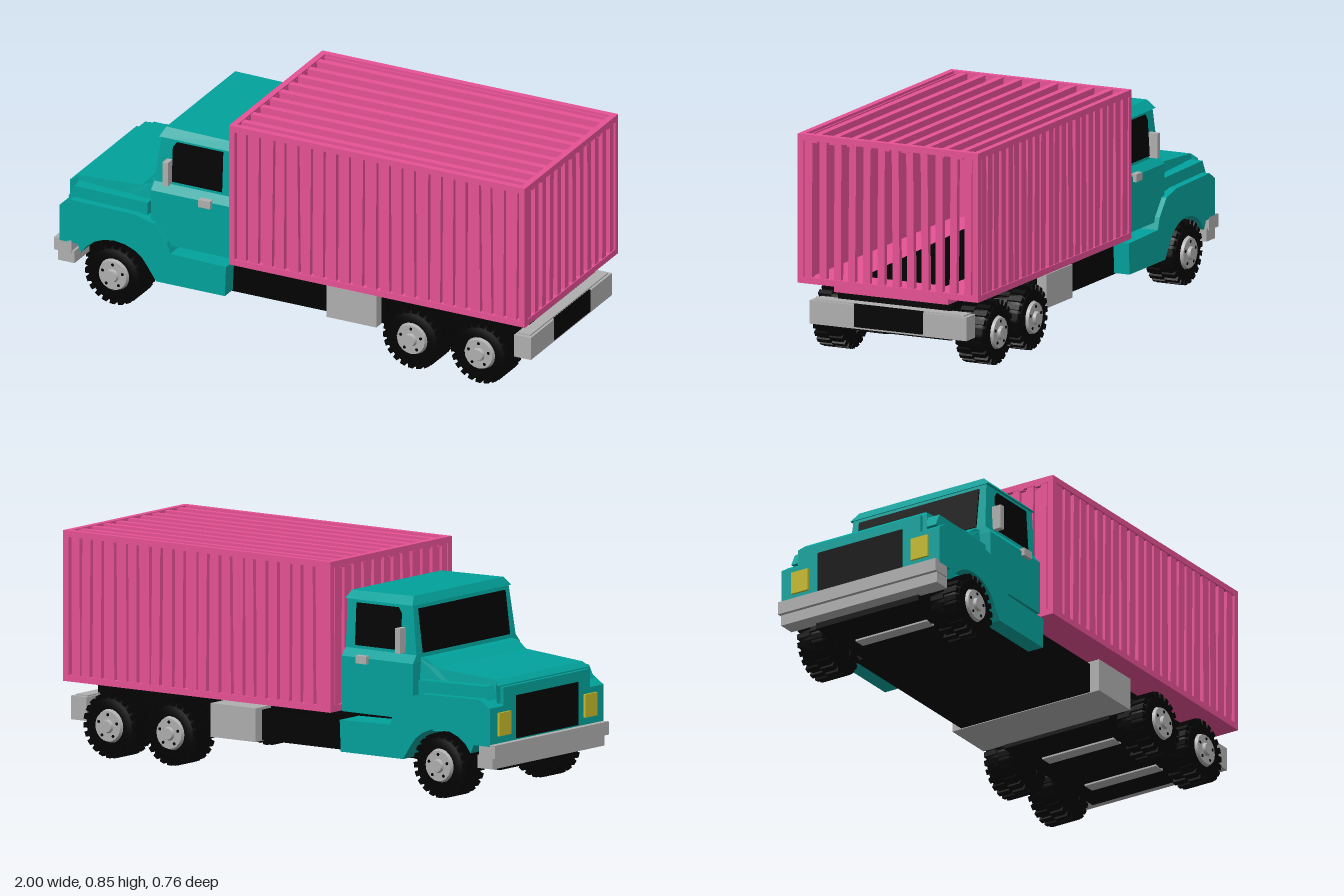
import * as THREE from 'three';

const mat = (name, color) => new THREE.MeshStandardMaterial({ name, color });

export function createModel() {
  const teal = mat('teal paint', 0x02a29c), pink = mat('pink paint', 0xee549a), black = mat('black', 0x020202);
  const grey = mat('grey metal', 0xafafaf), yellow = mat('yellow lamp', 0xc6bb2c);
  const truck = new THREE.Group();
  truck.name = 'truck';

  const add = (parent, name, geo, m) => {
    const mesh = new THREE.Mesh(geo, m);
    mesh.name = name;
    parent.add(mesh);
    return mesh;
  };
  const group = (name) => {
    const g = new THREE.Group();
    g.name = name;
    truck.add(g);
    return g;
  };
  // box given by its limits on each axis
  const box = (parent, name, m, x0, x1, y0, y1, z0, z1) =>
    add(parent, name, new THREE.BoxGeometry(x1 - x0, y1 - y0, z1 - z0)
      .translate((x0 + x1) / 2, (y0 + y1) / 2, (z0 + z1) / 2), m);
  // side profile extruded across the truck, reshaped by a rule for z
  const slab = (parent, name, m, pts, z0, z1, rule) => {
    const shape = new THREE.Shape(pts.map(([x, y]) => new THREE.Vector2(x, y)));
    const geo = new THREE.ExtrudeGeometry(shape, { depth: z1 - z0, bevelEnabled: false });
    geo.translate(0, 0, z0);
    const p = geo.attributes.position;
    if (rule) for (let i = 0; i < p.count; i++) p.setZ(i, rule(p.getX(i), p.getY(i), p.getZ(i)));
    geo.computeVertexNormals();
    return add(parent, name, geo, m);
  };
  let seed = 7;
  const rand = () => (seed = (seed * 16807) % 2147483647) / 2147483647 - 0.5;

  // Cargo cage
  const cargo = group('cargoCage');
  const X0 = -0.25, X1 = 0.995, Y0 = 0.277, Y1 = 0.848, Z = 0.38, T = 0.024;
  for (const y of [Y0, Y1 - T]) {
    for (const s of [-1, 1]) box(cargo, 'sideRail', pink, X0, X1, y, y + T, s > 0 ? Z - T : -Z, s > 0 ? Z : -Z + T);
    box(cargo, 'frontRail', pink, X0, X0 + T, y, y + T, -Z, Z);
    box(cargo, 'rearRail', pink, X1 - T, X1, y, y + T, -Z, Z);
  }
  for (const s of [-1, 1]) for (const x of [X0, X1 - T])
    box(cargo, 'cornerPost', pink, x, x + T, Y0, Y1, s > 0 ? Z - T : -Z, s > 0 ? Z : -Z + T);
  box(cargo, 'floor', pink, X0 + 0.01, X1 - 0.01, Y0, Y0 + 0.015, -Z + 0.01, Z - 0.01);
  slab(cargo, 'floorMat', black, [[-0.22, Y0 + 0.015], [0.85, Y0 + 0.015], [0.85, Y0 + 0.02], [-0.22, Y0 + 0.02]], -1, 1,
    (x, y, z) => z * (x > 0 ? 0.17 : 0.22));
  box(cargo, 'frontWall', pink, X0 + 0.015, X0 + 0.025, Y0, Y1 - 0.01, -Z + 0.01, Z - 0.01);
  for (const [z, y0, y1] of [[0.125, 0.4, 0.66], [0.07, 0.3, 0.58], [0.01, 0.3, 0.41], [-0.05, 0.42, 0.58]])
    box(cargo, 'frontWallPanel', black, X0 + 0.025, X0 + 0.03, y0, y1, z - 0.026, z + 0.026);
  box(cargo, 'rearSill', pink, 0.87, 0.97, 0.25, Y0, -0.24, 0.24);
  // Vertical slats, slightly crooked, on the two long sides
  const H = Y1 - Y0 - T;
  for (const s of [-1, 1]) {
    box(cargo, 'sideWall', pink, X0 + 0.01, X1 - 0.01, Y0, Y1 - 0.01, s * 0.354 - 0.004, s * 0.354 + 0.004);
    for (let i = 0; i < 22; i++) {
      const slat = add(cargo, 'sideSlat', new THREE.BoxGeometry(0.038, H, 0.018), pink);
      slat.position.set(X0 + 0.05 + i * 0.0545 + rand() * 0.01, (Y0 + Y1) / 2, s * 0.367);
      slat.rotation.z = rand() * 0.025;
    }
  }
  // Rear and front slats
  for (let i = 0; i < 12; i++) for (const x of [X0 + 0.012, X1 - 0.014]) {
    const slat = add(cargo, 'endSlat', new THREE.BoxGeometry(0.02, H, 0.029), pink);
    slat.position.set(x, (Y0 + Y1) / 2, -0.335 + i * 0.061);
    slat.rotation.x = rand() * 0.02;
  }
  // Roof bars running lengthwise
  for (let i = 0; i < 9; i++) {
    const z = -0.3 + i * 0.0765;
    box(cargo, 'roofBar', pink, X0, X1, Y1 - 0.03, Y1 - 0.003, z - 0.013, z + 0.013);
  }

  // Chassis, tank and rear bumper with a dark plate
  const chassis = group('chassis');
  box(chassis, 'frontFrame', black, -0.93, -0.55, 0.107, 0.25, -0.23, 0.23);
  box(chassis, 'middleFrame', black, -0.58, 0.36, 0.125, 0.24, -0.29, 0.29);
  box(chassis, 'frameTop', black, -0.58, 0.36, 0.23, 0.285, -0.235, 0.235);
  box(chassis, 'rearFrame', black, 0.34, 0.94, 0.107, 0.276, -0.238, 0.238);
  box(chassis, 'fuelTank', grey, 0.135, 0.345, 0.122, 0.25, -0.33, 0.33);
  box(chassis, 'rearBumper', grey, 0.925, 0.995, 0.125, 0.215, -0.33, 0.33);
  box(chassis, 'bumperLip', grey, 0.93, 0.985, 0.21, 0.22, -0.315, 0.315);
  box(chassis, 'rearPlate', black, 0.992, 0.9985, 0.132, 0.221, -0.148, 0.142);

  // Wheels
  const R = 0.123;
  const tyre = new THREE.LatheGeometry([[0.065, -0.06], [0.1, -0.06], [0.116, -0.045], [0.116, 0.045], [0.1, 0.06], [0.065, 0.06]]
    .map(([r, y]) => new THREE.Vector2(r, y)), 24).rotateX(Math.PI / 2);
  for (const x of [-0.745, 0.51, 0.795]) {
    const bar = add(chassis, 'axle', new THREE.CylinderGeometry(0.022, 0.022, 0.5, 10).rotateX(Math.PI / 2), black);
    bar.position.set(x, R, 0);
    box(chassis, 'axleBeam', grey, x - 0.025, x + 0.025, 0.1, 0.11, -0.16, 0.16);
    for (const s of [-1, 1]) {
      const wheel = group('wheel');
      wheel.position.set(x, R, s * 0.3);
      if (s < 0) wheel.rotation.y = Math.PI;
      add(wheel, 'tyre', tyre, black);
      for (let i = 0; i < 22; i++) for (const k of [-1, 1]) {
        const a = (i + k * 0.25) / 22 * Math.PI * 2;
        const lug = add(wheel, 'treadLug', new THREE.BoxGeometry(0.02, 0.02, 0.056), black);
        lug.position.set(Math.cos(a) * (R - 0.01), Math.sin(a) * (R - 0.01), k * 0.029);
        lug.rotation.z = a;
      }
      add(wheel, 'innerDisc', new THREE.CylinderGeometry(0.07, 0.07, 0.1, 20).rotateX(Math.PI / 2), black);
      const rim = add(wheel, 'rim', new THREE.CylinderGeometry(0.058, 0.068, 0.03, 20).rotateX(Math.PI / 2), grey);
      rim.position.z = 0.055;
      const hub = add(wheel, 'hub', new THREE.CylinderGeometry(0.022, 0.028, 0.014, 12).rotateX(Math.PI / 2), grey);
      hub.position.z = 0.074;
      for (let i = 0; i < 5; i++) {
        const a = i * Math.PI * 0.4 + 0.3;
        const hole = add(wheel, 'rimHole', new THREE.CylinderGeometry(0.006, 0.006, 0.004, 8).rotateX(Math.PI / 2), black);
        hole.position.set(Math.cos(a) * 0.044, Math.sin(a) * 0.044, 0.07);
      }
    }
  }

  // Cab: wide lower body, sloped shoulder, nearly upright upper body
  const cab = group('cab');
  const cabZ = (y) => 0.31 - 0.012 * (y - 0.52) / 0.195;
  const frontX = (y) => -0.602 + 0.03 * (y - 0.5) / 0.23;
  slab(cab, 'cabLower', teal, [[-0.6, 0.28], [-0.27, 0.28], [-0.27, 0.49], [-0.602, 0.49]], -0.335, 0.335);
  slab(cab, 'cabShoulder', teal, [[-0.602, 0.49], [-0.27, 0.49], [-0.27, 0.52], [frontX(0.52), 0.52]], -1, 1,
    (x, y, z) => z * (y < 0.5 ? 0.335 : cabZ(y)));
  slab(cab, 'cabUpper', teal, [[frontX(0.52), 0.52], [-0.27, 0.52], [-0.27, 0.71], [frontX(0.71), 0.71]], -1, 1,
    (x, y, z) => z * cabZ(y));
  slab(cab, 'roof', teal, [[-0.58, 0.705], [-0.268, 0.705], [-0.275, 0.733], [-0.565, 0.737]], -1, 1,
    (x, y, z) => z * (y > 0.72 ? 0.28 : 0.31));
  slab(cab, 'windshield', black, [[frontX(0.525) - 0.005, 0.525], [frontX(0.525) + 0.003, 0.525],
    [frontX(0.69) + 0.003, 0.69], [frontX(0.69) - 0.005, 0.69]], -0.27, 0.27);
  // Hood, narrowing forward
  slab(cab, 'hood', teal, [[-0.965, 0.24], [-0.59, 0.24], [-0.59, 0.51], [-0.63, 0.505], [-0.67, 0.475], [-0.94, 0.455], [-0.96, 0.435]],
    -1, 1, (x, y, z) => z * (y > 0.445 ? 0.27 : 0.29) * (1 + 0.15 * (x + 0.96)));
  // Fender with wheel arch, running back into the step
  const arch = [];
  for (let i = 8; i >= 0; i--) {
    const a = Math.PI * (0.14 + 0.72 * i / 8);
    arch.push([-0.745 + Math.cos(a) * 0.155, 0.125 + Math.sin(a) * 0.135]);
  }
  const fender = [[-0.57, 0.13], [-0.28, 0.13], [-0.275, 0.25], [-0.51, 0.255], [-0.525, 0.3], [-0.58, 0.365],
    [-0.66, 0.385], [-0.93, 0.39], [-0.975, 0.36], [-0.975, 0.215], [-0.9, 0.215], ...arch];
  for (const s of [-1, 1]) {
    slab(cab, 'fender', teal, fender, s > 0 ? 0.22 : -0.355, s > 0 ? 0.355 : -0.22);
    slab(cab, 'fenderShoulder', teal, [[-0.955, 0.385], [-0.62, 0.38], [-0.62, 0.43], [-0.93, 0.435]],
      s > 0 ? 0.2 : -0.325, s > 0 ? 0.325 : -0.2);
    // Side window follows the slope of the cab side
    slab(cab, 'sideWindow', black, [[-0.525, 0.532], [-0.315, 0.532], [-0.315, 0.692], [-0.51, 0.692], [-0.525, 0.67]],
      -0.004, 0.004, (x, y, z) => s * cabZ(y) + z);
    box(cab, 'doorHandle', grey, -0.395, -0.345, 0.47, 0.5, s * 0.338 - 0.012, s * 0.338 + 0.012);
    box(cab, 'mirror', grey, -0.548, -0.525, 0.525, 0.62, s * 0.325 - 0.02, s * 0.325 + 0.02);
    box(cab, 'headlight', yellow, -0.984, -0.975, 0.25, 0.338, s * 0.269 - 0.038, s * 0.269 + 0.038);
  }
  // Front face, grille and bumper
  box(cab, 'noseFrame', teal, -0.975, -0.955, 0.215, 0.43, -0.27, 0.27);
  box(cab, 'grille', black, -0.981, -0.974, 0.228, 0.39, -0.19, 0.19);
  box(cab, 'bumperLower', grey, -0.985, -0.915, 0.13, 0.18, -0.35, 0.35);
  box(cab, 'bumperUpper', grey, -1.0, -0.925, 0.172, 0.222, -0.355, 0.355);
  truck.position.x = 0.001;
  return truck;
}
